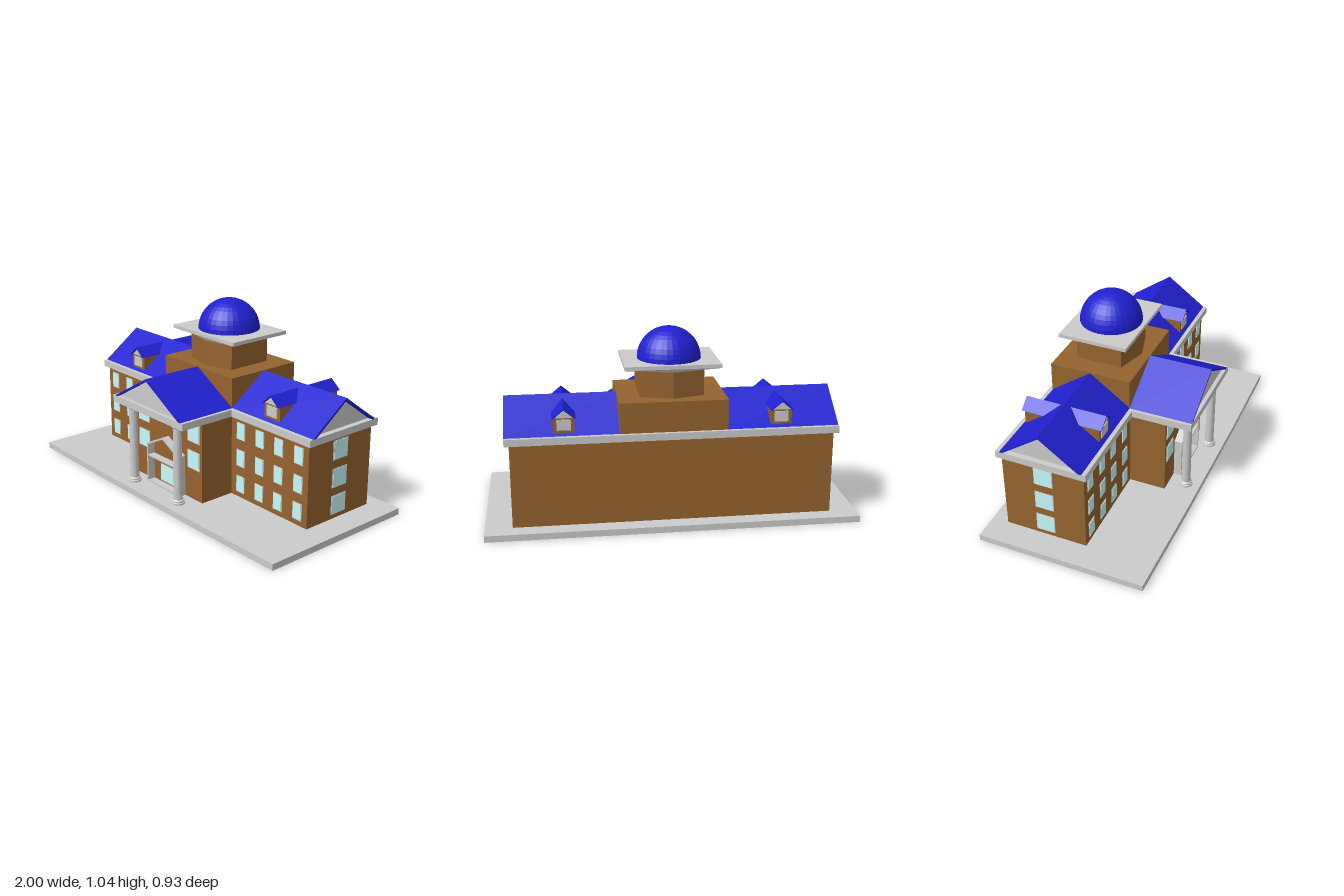
import * as THREE from 'three';

const material = (color) => new THREE.MeshStandardMaterial({ color, flatShading: true });
const grey = material(0xcccccc);
const brick = material(0x96632f);
const blue = material(0x2020d0);
const glass = material(0xc8fafa);
const CZ = -0.145; // z of the main ridge and the cupola axis

function add(parent, name, geometry, mat) {
  const mesh = new THREE.Mesh(geometry, mat);
  mesh.name = name;
  parent.add(mesh);
  return mesh;
}

// Box given by its minimum and maximum on each axis
function box(parent, name, mat, x0, x1, y0, y1, z0, z1) {
  const g = new THREE.BoxGeometry(x1 - x0, y1 - y0, z1 - z0);
  g.translate((x0 + x1) / 2, (y0 + y1) / 2, (z0 + z1) / 2);
  return add(parent, name, g, mat);
}

function extrude(points, depth, holes = []) {
  const shape = new THREE.Shape(points.map(([x, y]) => new THREE.Vector2(x, y)));
  for (const h of holes) shape.holes.push(new THREE.Path(h.map(([x, y]) => new THREE.Vector2(x, y))));
  return new THREE.ExtrudeGeometry(shape, { depth, bevelEnabled: false });
}

// Thin pitched roof and the solid gable under it, ridge along z
function pitched(parent, name, w, h, t, roofZ, gableZ) {
  const group = new THREE.Group();
  group.name = name;
  const inner = h - (t * h) / w;
  const roof = extrude([[-w, 0], [-w + t, 0], [0, inner], [w - t, 0], [w, 0], [0, h]], roofZ[1] - roofZ[0]);
  add(group, 'roofSlopes', roof.translate(0, 0, roofZ[0]), blue);
  const gable = extrude([[-w + t, 0], [w - t, 0], [0, inner]], gableZ[1] - gableZ[0]);
  add(group, 'gable', gable.translate(0, 0, gableZ[0]), grey);
  parent.add(group);
  return group;
}

// Framed window on a wall facing +z
function makeWindow(parent, w, h, panes = 1) {
  const group = new THREE.Group();
  group.name = 'window';
  const f = 0.004;
  const gap = 0.002;
  box(group, 'frame', grey, -w / 2, w / 2, -h / 2, h / 2, -0.005, 0.003);
  const pw = (w - 2 * f - gap * (panes - 1)) / panes;
  for (let i = 0; i < panes; i++) {
    const x = -w / 2 + f + i * (pw + gap);
    box(group, 'pane', glass, x, x + pw, -h / 2 + f, h / 2 - f, 0, 0.005);
  }
  parent.add(group);
  return group;
}

// Dormer facing +z, to stand on the front roof slope
function makeDormer() {
  const group = new THREE.Group();
  group.name = 'dormer';
  box(group, 'dormerWalls', brick, -0.056, 0.056, 0.54, 0.625, -0.06, 0.065);
  box(group, 'dormerWindow', grey, -0.037, 0.037, 0.555, 0.612, 0.06, 0.07);
  pitched(group, 'dormerRoof', 0.062, 0.052, 0.008, [-0.117, 0.08], [-0.08, 0.066]).position.y = 0.62;
  return group;
}

function makeColumn() {
  const profile = [
    [0, 0], [0.038, 0], [0.038, 0.01], [0.033, 0.013], [0.033, 0.02], [0.025, 0.027],
    [0.023, 0.43], [0.03, 0.436], [0.03, 0.443], [0.037, 0.446], [0.037, 0.457], [0, 0.457],
  ].map(([x, y]) => new THREE.Vector2(x, y));
  return new THREE.LatheGeometry(profile, 16);
}

// Six-sided ring with four corners and two points in the middle of front and back
const ring = (x, z, zMid, y) =>
  [[0, zMid], [x, z], [x, -z], [0, -zMid], [-x, -z], [-x, z]].map(([a, b]) => [a, y, b]);

// Stack of rings joined by quads, closed at the top
function loft(rings) {
  const pos = [];
  const tri = (a, b, c) => pos.push(...a, ...b, ...c);
  for (let r = 0; r + 1 < rings.length; r++) {
    for (let i = 0; i < 6; i++) {
      const j = (i + 1) % 6;
      tri(rings[r][i], rings[r][j], rings[r + 1][j]);
      tri(rings[r][i], rings[r + 1][j], rings[r + 1][i]);
    }
  }
  const top = rings[rings.length - 1];
  for (let i = 1; i < 5; i++) tri(top[0], top[i], top[i + 1]);
  const g = new THREE.BufferGeometry();
  g.setAttribute('position', new THREE.Float32BufferAttribute(pos, 3));
  g.computeVertexNormals();
  return g;
}

export function createModel() {
  const model = new THREE.Group();
  model.name = 'domedHall';

  // Ground slab with a slightly bowed front edge
  const slab = extrude([[-1, -0.457], [-0.4, -0.465], [0.4, -0.465], [1, -0.457], [1, 0.465], [-1, 0.465]], 0.035);
  add(model, 'baseSlab', slab.rotateX(-Math.PI / 2), grey);

  // Walls
  box(model, 'mainWalls', brick, -0.855, 0.855, 0.035, 0.49, -0.375, 0.083);
  box(model, 'entranceWalls', brick, -0.285, 0.285, 0.035, 0.49, 0.08, 0.29);
  box(model, 'centralBlock', brick, -0.285, 0.285, 0.49, 0.692, -0.376, 0.083);

  // Cornices
  box(model, 'mainCornice', grey, -0.88, 0.88, 0.49, 0.528, -0.395, 0.105);
  box(model, 'porticoCornice', grey, -0.305, 0.305, 0.49, 0.528, 0.1, 0.437);

  // Wing roofs, side windows, wing windows, dormers and columns, mirrored
  const column = makeColumn();
  const rows = [0.112, 0.262, 0.416];
  for (const s of [-1, 1]) {
    const roof = pitched(model, 'wingRoof', 0.228, 0.164, 0.02, [0.28, 0.88], [0.28, 0.85]);
    roof.rotation.y = (s * Math.PI) / 2;
    roof.position.set(0, 0.528, CZ);

    for (const y of rows) {
      const side = makeWindow(model, 0.106, 0.106);
      side.rotation.y = (s * Math.PI) / 2;
      side.position.set(s * 0.855, y, CZ);
      for (const x of [0.36, 0.505, 0.645, 0.787]) {
        makeWindow(model, 0.064, 0.095).position.set(s * x, y, 0.083);
      }
    }
    for (const y of rows.slice(1)) makeWindow(model, 0.1, 0.104).position.set(s * 0.217, y, 0.29);

    for (const back of [0, 1]) {
      const dormer = makeDormer();
      dormer.position.set(s * 0.572, 0, 0);
      if (back) {
        dormer.rotation.y = Math.PI;
        dormer.position.z = 2 * CZ;
      }
      model.add(dormer);
    }
    add(model, 'porticoColumn', column, grey).position.set(s * 0.195, 0.034, 0.383);
  }

  // Portico roof with its pediment
  pitched(model, 'porticoRoof', 0.287, 0.164, 0.02, [0.08, 0.436], [0.083, 0.415]).position.y = 0.528;

  // Entrance surround: gabled open frame with a ledge above the door
  const frame = extrude(
    [[-0.142, 0.035], [0.142, 0.035], [0.142, 0.265], [0, 0.337], [-0.142, 0.265]], 0.047,
    [[[-0.132, 0.045], [-0.132, 0.258], [0, 0.325], [0.132, 0.258], [0.132, 0.045]]],
  );
  add(model, 'entranceFrame', frame.translate(0, 0, 0.287), grey);
  box(model, 'entranceLedge', grey, -0.135, 0.135, 0.19, 0.198, 0.287, 0.333);
  makeWindow(model, 0.142, 0.1, 2).position.set(0, 0.103, 0.29);

  // Cupola: six-sided drum, flared slab and dome
  const cupola = new THREE.Group();
  cupola.name = 'cupola';
  cupola.position.z = CZ;
  model.add(cupola);
  add(cupola, 'drum', loft([ring(0.17, 0.13, 0.18, 0.69), ring(0.17, 0.13, 0.18, 0.835)]), brick);
  add(cupola, 'domeSlab', loft([
    ring(0.17, 0.13, 0.18, 0.832),
    ring(0.253, 0.193, 0.193, 0.852),
    ring(0.253, 0.193, 0.193, 0.872),
  ]), grey);
  const dome = new THREE.SphereGeometry(0.171, 32, 10, 0, Math.PI * 2, 0, Math.PI / 2);
  add(cupola, 'dome', dome, blue).position.y = 0.869;

  return model;
}
